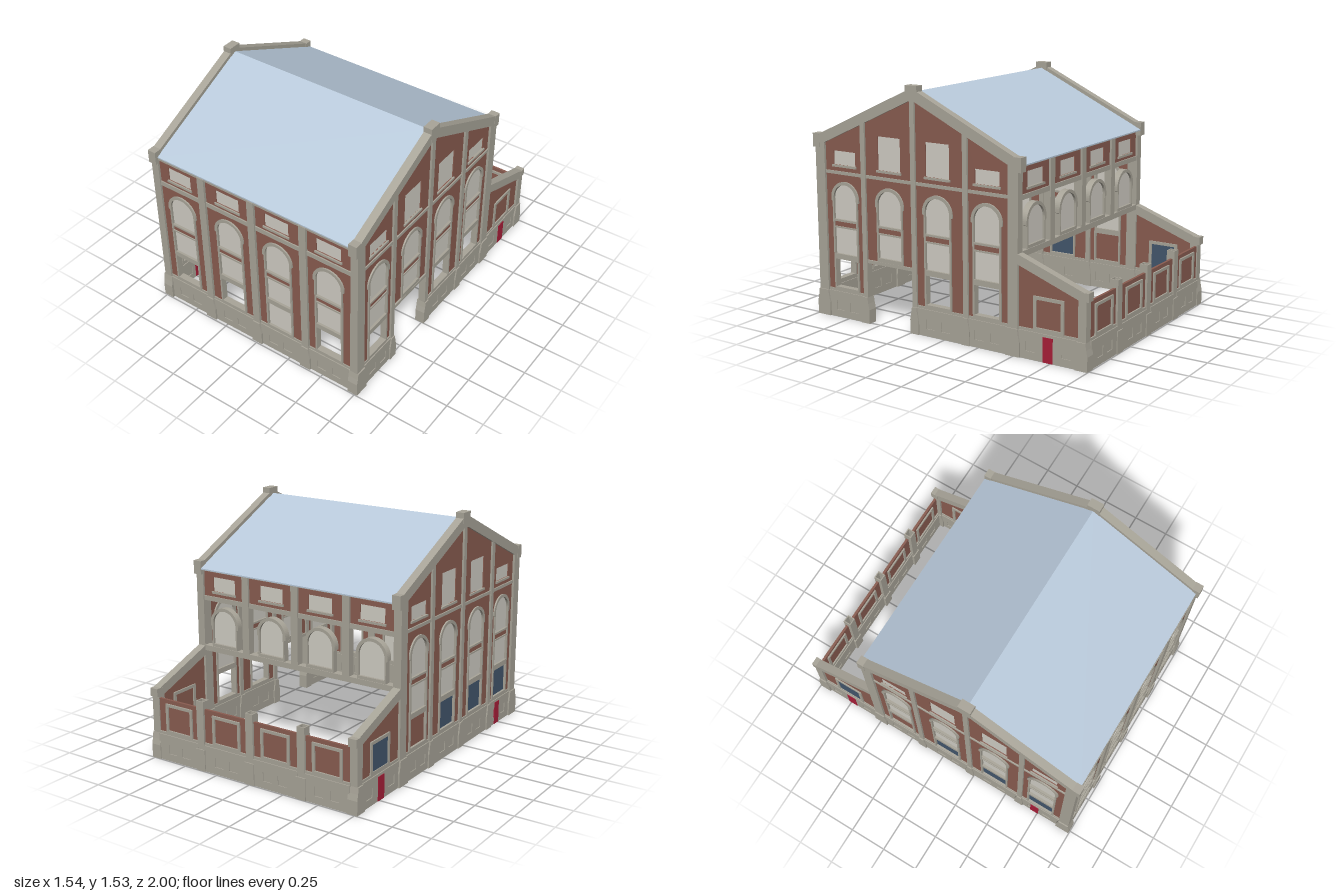
import * as THREE from 'three';

const paint = (name, color) => {
  const m = new THREE.MeshStandardMaterial({ color });
  m.name = name;
  return m;
};

export function createModel() {
  const model = new THREE.Group();
  model.name = 'brickHall';
  const stone = paint('stone', 0xa8a498);
  const brick = paint('brick', 0x895c50);
  const glass = paint('paleGlass', 0xcfccc3);
  const blue = paint('blueGlass', 0x42566c);
  const red = paint('redDoor', 0xa81e38);
  const roofBlue = paint('roofBlue', 0xb8c9da);

  // --- helpers: walls are drawn in (u, y) and are thick symmetrically about z = 0
  const add = (g, name, mat, geo) => {
    const m = new THREE.Mesh(geo, mat);
    m.name = name;
    g.add(m);
    return m;
  };
  const slab = (g, name, mat, shape, depth) =>
    add(g, name, mat, new THREE.ExtrudeGeometry(shape, { depth, bevelEnabled: false, curveSegments: 16 }).translate(0, 0, -depth / 2));
  const box = (g, name, mat, u0, u1, y0, y1, depth) =>
    add(g, name, mat, new THREE.BoxGeometry(u1 - u0, y1 - y0, depth).translate((u0 + u1) / 2, (y0 + y1) / 2, 0));
  const poly = (pts) => new THREE.Shape(pts.map(([a, b]) => new THREE.Vector2(a, b)));
  const rect = (u0, u1, y0, y1) => poly([[u0, y0], [u1, y0], [u1, y1], [u0, y1]]);
  const arch = (c, w, y0, spring) => {
    const s = new THREE.Shape();
    s.moveTo(c - w, y0);
    s.lineTo(c + w, y0);
    s.lineTo(c + w, spring);
    s.absarc(c, spring, w, 0, Math.PI, false);
    s.closePath();
    return s;
  };
  const frameOutline = (c, y0, w = 0.1, r = 0.11) => {
    const s = new THREE.Shape();
    s.moveTo(c - w, y0);
    s.lineTo(c + w, y0);
    s.lineTo(c + w, 0.76);
    s.lineTo(c + r, 0.765);
    s.lineTo(c + r, 0.78);
    s.absarc(c, 0.78, r, 0, Math.PI, false);
    s.lineTo(c - r, 0.765);
    s.lineTo(c - w, 0.76);
    s.closePath();
    return s;
  };

  // Tall window: arched light, brick spandrel, middle light and bottom light
  function tallWindow(g, c, y0, bottom) {
    const frame = frameOutline(c, y0);
    const w = 0.088;
    frame.holes.push(arch(c, 0.09, 0.645, 0.78));
    slab(g, 'archedGlass', glass, arch(c, 0.092, 0.643, 0.78), 0.012);
    if (y0 < 0.6) {
      const midY = y0 > 0.3 ? 0.44 : 0.42;
      frame.holes.push(rect(c - w, c + w, 0.6, 0.632), rect(c - w, c + w, midY, 0.59));
      box(g, 'spandrel', brick, c - w, c + w, 0.6, 0.632, 0.028);
      box(g, 'middleGlass', glass, c - w, c + w, midY, 0.59, 0.012);
    }
    if (y0 < 0.3) {
      frame.holes.push(rect(c - w, c + w, 0.2, 0.385));
      if (bottom) box(g, 'bottomPanel', bottom, c - w, c + w, 0.2, 0.385, 0.012);
    }
    slab(g, 'windowFrame', stone, frame, 0.042);
  }

  // Pier with a flared foot
  function pier(g, u0, u1, top, depth, y0 = 0) {
    if (y0 > 0) return box(g, 'pier', stone, u0, u1, y0, top, depth);
    const f = 0.014;
    slab(g, 'pier', stone, rect(u0, u1, 0.1, top), depth);
    return slab(g, 'pierFoot', stone, poly([[u0 - f, 0], [u1 + f, 0], [u1 + f, 0.09], [u1 + 0.006, 0.13],
      [u1, 0.17], [u0, 0.17], [u0 - 0.006, 0.13], [u0 - f, 0.09]]), depth + 0.016);
  }

  // Plinth with two recessed square panels
  function plinth(g, u0, u1, vents) {
    const s = rect(u0, u1, 0, 0.17);
    for (const v of vents) s.holes.push(rect(v - 0.032, v + 0.032, 0.047, 0.107));
    slab(g, 'plinth', stone, s, 0.046);
    box(g, 'plinthCore', stone, u0, u1, 0, 0.165, 0.036);
    box(g, 'plinthSill', stone, u0, u1, 0.165, 0.186, 0.034);
  }

  // One brick bay with its windows
  function bay(g, u0, u1, c, o) {
    const y0 = o.y0 ?? 0.17;
    const wall = poly([[u0, y0], [u1, y0], [u1, o.top(u1)], [u0, o.top(u0)]]);
    if (y0 < 0.9) wall.holes.push(frameOutline(c, Math.max(0.19, y0 + 0.02), 0.095, 0.105));
    const [a, b] = o.upper;
    wall.holes.push(rect(c - 0.086, c + 0.086, a, b));
    slab(g, 'brickBay', brick, wall, 0.022);
    box(g, 'upperGlass', glass, c - 0.086, c + 0.086, a, b, 0.01);
    box(g, 'upperSill', stone, c - 0.095, c + 0.095, a - 0.014, a, 0.04);
    box(g, 'stringCourse', stone, u0, u1, o.band ?? 0.925, 0.955, 0.038);
    tallWindow(g, c, o.frameY ?? Math.max(0.186, y0 + 0.01), o.bottom);
    if (y0 === 0.17) plinth(g, u0, u1, [c - 0.055, c + 0.055]);
  }

  const group = (name, x, z, turn = 0) => {
    const g = new THREE.Group();
    g.name = name;
    g.position.set(x, 0, z);
    g.rotation.y = turn;
    model.add(g);
    return g;
  };

  // --- front wall and upper rear wall
  const edges = [-0.735, -0.375, 0, 0.375, 0.735];
  const centres = [-0.555, -0.185, 0.18, 0.55];
  const front = group('frontWall', 0, 0.957);
  const rear = group('upperRearWall', 0, -0.505);
  centres.forEach((c, i) => {
    const o = { top: () => 1.125, upper: [0.99, 1.083] };
    bay(front, edges[i], edges[i + 1], c, { ...o, bottom: i === 2 ? glass : null });
    bay(rear, edges[i], edges[i + 1], c, { ...o, y0: 0.94, frameY: 0.625 });
  });
  for (const u of edges.slice(1, 4)) {
    pier(front, u - 0.025, u + 0.025, 1.13, 0.055);
    pier(rear, u - 0.025, u + 0.025, 1.13, 0.05, 0.6);
  }
  for (const g of [front, rear]) box(g, 'eaves', stone, -0.71, 0.71, 1.118, 1.132, 0.045);
  box(rear, 'rearBeam', stone, -0.71, 0.71, 0.59, 0.625, 0.05);

  // --- gabled side walls, u runs towards the back
  const ridge = -0.22;
  const gable = (u) => 1.52 - 0.465 * Math.abs(u - ridge);
  const lean = (u) => 0.62 - 0.36 * (u - 0.53);
  const sideEdges = [-0.945, -0.605, ridge, 0.16, 0.495];
  const sideCentres = [-0.76, -0.408, -0.045, 0.31];
  for (const sx of [1, -1]) {
    const right = sx > 0;
    const g = group(right ? 'leftGableWall' : 'rightGableWall', sx * 0.735, 0, Math.PI / 2);
    sideCentres.forEach((c, i) => {
      const doorway = right && i === 1;
      bay(g, sideEdges[i], sideEdges[i + 1], c, {
        top: (u) => gable(u) - 0.05,
        upper: i === 1 || i === 2 ? [0.995, 1.205] : [0.995, 1.083],
        band: 0.935,
        y0: doorway ? 0.4 : 0.17,
        bottom: right ? null : i === 3 ? brick : blue,
      });
      if (doorway) box(g, 'doorwayLintel', stone, sideEdges[1], sideEdges[2], 0.395, 0.415, 0.045);
    });
    for (const u of sideEdges.slice(1, 4)) pier(g, u - 0.017, u + 0.017, gable(u) - 0.04, 0.048);
    pier(g, -0.982, -0.91, 1.14, 0.052);
    pier(g, 0.46, 0.53, 1.14, 0.052);

    // sloping copings, kneelers and ridge block
    slab(g, 'gableCoping', stone, poly([[-0.98, gable(-0.98)], [-0.98, gable(-0.98) - 0.07], [ridge, 1.45],
      [0.53, gable(0.53) - 0.07], [0.53, gable(0.53)], [ridge, 1.52]]), 0.052);
    box(g, 'ridgeBlock', stone, ridge - 0.043, ridge + 0.043, 1.44, 1.535, 0.056);
    box(g, 'frontKneeler', stone, -1, -0.95, 1.095, 1.182, 0.056);
    box(g, 'backKneeler', stone, 0.5, 0.552, 1.095, 1.182, 0.056);

    // lean-to side wall
    slab(g, 'leanToBrick', brick, poly([[0.5, 0.17], [0.95, 0.17], [0.95, lean(0.95) - 0.04], [0.5, lean(0.5) - 0.04]]), 0.022);
    plinth(g, 0.52, 0.95, [0.615, 0.855]);
    const panel = rect(0.63, 0.835, 0.18, 0.388);
    panel.holes.push(rect(0.65, 0.815, 0.2, 0.368));
    slab(g, 'panelFrame', stone, panel, 0.04);
    if (!right) box(g, 'bluePanel', blue, 0.65, 0.815, 0.2, 0.368, 0.03);
    slab(g, 'leanToCoping', stone, poly([[0.52, lean(0.52) - 0.062], [0.985, lean(0.985) - 0.062],
      [0.985, lean(0.985)], [0.52, lean(0.52)]]), 0.052);
    pier(g, 0.932, 0.985, 0.44, 0.052);
    box(g, 'leanToKneeler', stone, 0.95, 1, 0.41, 0.462, 0.056);
    box(g, 'leanToDoor', red, 0.7, 0.766, 0, 0.153, 0.052);
    if (!right) box(g, 'sideDoor', red, -0.755, -0.695, 0, 0.153, 0.052);
  }

  // --- low rear wall of the open lean-to
  const low = group('leanToRearWall', 0, -0.97);
  const tube = (name, u, w, y0, y1) => {
    const s = rect(-w, w, -w, w);
    s.holes.push(rect(-w + 0.007, w - 0.007, -w + 0.007, w - 0.007));
    add(low, name, stone, new THREE.ExtrudeGeometry(s, { depth: y1 - y0, bevelEnabled: false })
      .rotateX(-Math.PI / 2).translate(u, y0, 0.005));
  };
  centres.forEach((c, i) => {
    const [u0, u1] = [edges[i] + 0.022, edges[i + 1] - 0.022];
    box(low, 'lowBrick', brick, u0, u1, 0.17, 0.4, 0.016);
    plinth(low, u0, u1, [c - 0.055, c + 0.055]);
    const panel = rect(c - 0.105, c + 0.105, 0.18, 0.375);
    panel.holes.push(rect(c - 0.087, c + 0.087, 0.2, 0.357));
    slab(low, 'panelFrame', stone, panel, 0.036);
  });
  for (const u of edges.slice(1, 4)) {
    tube('hollowPier', u, 0.027, 0.1, 0.45);
    tube('hollowPierFoot', u, 0.034, 0, 0.14);
  }

  // --- thin pitched roof between the gables
  const roof = group('roof', 0, 0, Math.PI / 2);
  slab(roof, 'roofSlopes', roofBlue, poly([[-0.98, 1.133], [ridge, 1.488], [0.55, 1.128],
    [0.55, 1.136], [ridge, 1.496], [-0.98, 1.141]]), 1.42);

  return model;
}
